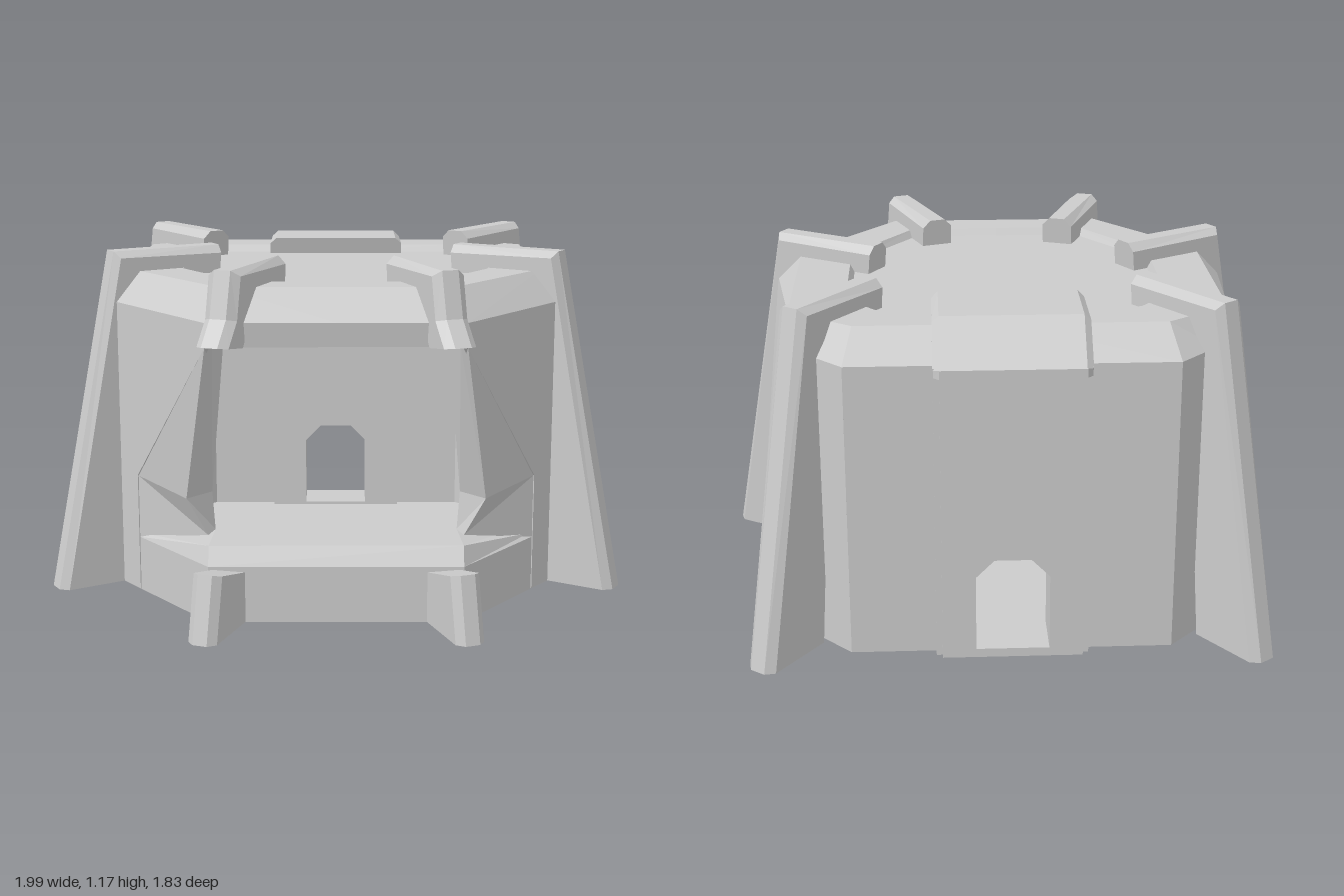
import * as THREE from 'three';

const mat = new THREE.MeshStandardMaterial({ color: 0xcccccc, flatShading: true, side: THREE.DoubleSide });
const V = (x, y, z) => new THREE.Vector3(x, y, z);

function fromTriangles(tris) {
  const geo = new THREE.BufferGeometry().setFromPoints(tris.flat());
  geo.computeVertexNormals();
  return geo;
}

// Flat convex faces, each wound to face away from the middle of the building
function faces(list) {
  const tris = [], mid = V(0, 0.5, 0);
  for (const pts of list.map(f => f.map(p => V(...p)))) {
    for (let i = 1; i < pts.length - 1; i++) {
      const t = [pts[0], pts[i], pts[i + 1]];
      const n = t[1].clone().sub(t[0]).cross(t[2].clone().sub(t[0]));
      const out = t[0].clone().add(t[1]).add(t[2]).divideScalar(3).sub(mid);
      tris.push(n.dot(out) < 0 ? [t[0], t[2], t[1]] : t);
    }
  }
  return fromTriangles(tris);
}

// Closed solid through cross-sections with equal point counts
function loft(rings) {
  const tris = [], n = rings[0].length, last = rings[rings.length - 1];
  for (let k = 0; k < rings.length - 1; k++) {
    for (let i = 0; i < n; i++) {
      const j = (i + 1) % n, a = rings[k], b = rings[k + 1];
      tris.push([a[i], a[j], b[j]], [a[i], b[j], b[i]]);
    }
  }
  for (let i = 1; i < n - 1; i++) {
    tris.push([rings[0][0], rings[0][i + 1], rings[0][i]], [last[0], last[i], last[i + 1]]);
  }
  const volume = tris.reduce((s, [a, b, c]) => s + a.dot(b.clone().cross(c)), 0);
  return fromTriangles(volume < 0 ? tris.map(([a, b, c]) => [a, c, b]) : tris);
}

// Upright slab from plan point a to b, its thickness going inward
function panel(a, b, outline, depth, hole) {
  const shape = new THREE.Shape(outline.map(p => new THREE.Vector2(...p)));
  if (hole) shape.holes.push(new THREE.Path(hole.map(p => new THREE.Vector2(...p))));
  const geo = new THREE.ExtrudeGeometry(shape, { depth, bevelEnabled: false });
  geo.translate(0, 0, -depth);
  const u = V(b[0] - a[0], 0, b[1] - a[1]).normalize(), up = V(0, 1, 0);
  const m = new THREE.Matrix4().makeBasis(u, up, u.clone().cross(up)).setPosition(a[0], 0, a[1]);
  return geo.applyMatrix4(m);
}

// Doorway outline with cut corners
function doorway(s0, s1, y0, y1, top, bottom) {
  return [[s0 + bottom, y0], [s1 - bottom, y0], [s1, y0 + bottom], [s1, y1 - top],
    [s1 - top, y1], [s0 + top, y1], [s0, y1 - top], [s0, y0 + bottom]];
}

// Rib with chamfered outer edges; stations are [outer t, outer y, inner t, inner y] along a to b
function rib(a, b, w, c, stations) {
  const d = V(b[0] - a[0], 0, b[1] - a[1]).normalize(), side = V(-d.z, 0, d.x);
  const at = (t, y, s) => V(a[0], y, a[1]).addScaledVector(d, t).addScaledVector(side, s);
  return loft(stations.map(([ot, oy, it, iy]) => {
    const k = c / Math.hypot(it - ot, iy - oy);
    const mt = ot + (it - ot) * k, my = oy + (iy - oy) * k;
    return [at(it, iy, -w), at(mt, my, -w), at(ot, oy, c - w),
      at(ot, oy, w - c), at(mt, my, w), at(it, iy, w)];
  }));
}

function mirrored(geo) {
  const g = geo.index ? geo.toNonIndexed() : geo.clone();
  g.scale(-1, 1, 1);
  const p = g.attributes.position;
  for (let i = 0; i < p.count; i += 3) {
    const b = V().fromBufferAttribute(p, i + 1), c = V().fromBufferAttribute(p, i + 2);
    p.setXYZ(i + 1, c.x, c.y, c.z);
    p.setXYZ(i + 2, b.x, b.y, b.z);
  }
  g.computeVertexNormals();
  return g;
}

export function createModel() {
  const model = new THREE.Group();
  model.name = 'building';
  const add = (name, geo) => {
    const mesh = new THREE.Mesh(geo, mat);
    mesh.name = name;
    model.add(mesh);
  };
  const pair = (name, geo) => {
    add(name + 'Left', geo);
    add(name + 'Right', mirrored(geo));
  };

  // Floor slab
  const half = [[0.42, 0.67], [0.79, 0.19], [0.79, -0.51], [0.53, -0.78]];
  const plan = [...half, ...half.map(([x, z]) => [-x, z]).reverse()];
  const floor = new THREE.ExtrudeGeometry(
    new THREE.Shape(plan.map(([x, z]) => new THREE.Vector2(x, -z))), { depth: 0.02, bevelEnabled: false });
  add('floor', floor.rotateX(-Math.PI / 2));

  // Walls
  pair('sideWall', panel([0.8, 0.19], [0.8, -0.51], [[0, 0], [0.7, 0], [0.7, 0.6], [0, 1]], 0.13,
    doorway(0.37, 0.62, 0.03, 0.5, 0.05, 0.02)));
  pair('rearCornerWall', panel([0.8, -0.51], [0.53, -0.79],
    [[0, 0], [0.389, 0], [0.389, 1], [0.2, 1], [0, 0.6]], 0.1));
  pair('frontCornerWall', panel([0.42, 0.68], [0.8, 0.19],
    [[0, 1], [0, 0.92], [0.43, 0.41], [0.43, 0], [0.62, 0], [0.62, 1]], 0.02));
  const backDoor = c => doorway(c - 0.12, c + 0.12, 0.03, 0.35, 0.06, 0);
  add('backWall', panel([0.53, -0.79], [-0.53, -0.79], [[0, 0], [1.06, 0], [1.06, 1], [0, 1]], 0.1, backDoor(0.53)));

  // Back buttress with its doorway and a cap folding over the roof
  for (const [w, z, depth] of [[0.25, -0.82, 0.16], [0.23, -0.84, 0.03]]) {
    add('backButtress', panel([w, z], [-w, z], [[0, 0], [2 * w, 0], [2 * w, 1], [0, 1]], depth, backDoor(w)));
  }
  add('buttressCap', rib([0, 0], [0, -1], 0.25, 0.022,
    [[0.45, 1.135, 0.47, 1.06], [0.71, 1.135, 0.68, 1.05], [0.84, 1.0, 0.76, 0.98], [0.84, 0.97, 0.76, 0.97]]));

  // Splayed sides of the front opening
  const o1 = [0.42, 0.92, 0.68], o2 = [0.68, 0.41, 0.345], o3 = [0.68, 0.19, 0.345];
  const m1 = [0.4, 0.92, 0.62], m2 = [0.5, 0.38, 0.53], m3 = [0.43, 0.25, 0.52];
  const i1 = [0.37, 0.92, 0.5], i2 = [0.42, 0.38, 0.44], i3 = [0.41, 0.25, 0.45];
  pair('openingSide', faces([[o1, o2, m2, m1], [o2, o3, m3, m2], [m1, m2, i2, i1], [m2, m3, i3, i2],
    [i1, i2, [0.67, 0.38, 0.12], [0.67, 0.92, 0.12]], [i2, [0.42, 0, 0.44], [0.67, 0, 0.12], [0.67, 0.38, 0.12]]]));

  // Low front sill
  const sillEnd = s => [V(s * 0.68, 0, 0.345), V(s * 0.68, 0.19, 0.345), V(s * 0.67, 0.2, 0.335),
    V(s * 0.62, 0.2, 0.29), V(s * 0.62, 0, 0.29)];
  const sillMid = s => [V(s * 0.42, 0, 0.68), V(s * 0.42, 0.19, 0.68), V(s * 0.42, 0.25, 0.64),
    V(s * 0.41, 0.25, 0.45), V(s * 0.41, 0, 0.44)];
  add('frontSill', loft([sillEnd(-1), sillMid(-1), sillMid(1), sillEnd(1)]));

  // Sloped eaves, flat rim and the step down to the roof
  pair('eaves', faces([
    [[0, 0.92, 0.67], [0.42, 0.92, 0.67], [0.42, 1, 0.68], [0, 1, 0.68]],
    [[0, 1, 0.68], [0.42, 1, 0.68], [0.38, 1.1, 0.58], [0, 1.1, 0.58]],
    [[0.42, 1, 0.68], [0.8, 1, 0.19], [0.71, 1.1, 0.16], [0.38, 1.1, 0.58]],
    [[0.8, 1, 0.19], [0.8, 0.6, -0.51], [0.71, 1.1, -0.54], [0.71, 1.1, 0.16]],
    [[0.8, 0.6, -0.51], [0.66, 1, -0.655], [0.71, 1.1, -0.54]],
    [[0.66, 1, -0.655], [0.53, 1, -0.79], [0.5, 1.1, -0.69], [0.71, 1.1, -0.54]],
    [[0.53, 1, -0.79], [0, 1, -0.79], [0, 1.1, -0.69], [0.5, 1.1, -0.69]],
  ]));
  const outer = [[0, 0.58], [0.38, 0.58], [0.71, 0.16], [0.71, -0.54], [0.5, -0.69], [0, -0.69]];
  const inner = [[0, 0.46], [0.31, 0.46], [0.53, 0.14], [0.53, -0.41], [0.43, -0.53], [0, -0.53]];
  const roof = [[0, 0.445], [0.3, 0.445], [0.515, 0.135], [0.515, -0.405], [0.425, -0.51], [0, -0.51]];
  const lift = ([x, z], y) => [x, y, z];
  const rim = [roof.map(p => lift(p, 1.075))];
  for (let i = 0; i < 5; i++) {
    rim.push([lift(outer[i], 1.1), lift(outer[i + 1], 1.1), lift(inner[i + 1], 1.1), lift(inner[i], 1.1)]);
    rim.push([lift(inner[i], 1.1), lift(inner[i + 1], 1.1), lift(roof[i + 1], 1.075), lift(roof[i], 1.075)]);
  }
  pair('roof', faces(rim));
  pair('ceiling', faces([[[0, 0.92, 0.67], [0.42, 0.92, 0.67], [0.78, 0.92, 0.19],
    [0.72, 0.92, -0.5], [0.52, 0.92, -0.75], [0, 0.92, -0.75]]]));

  // Ribs: full legs at the sides and rear, cut short over the front opening
  const leg = [[0, 1.17, 0.01, 1.06], [0.4, 1.17, 0.28, 1.0], [0.64, 0, 0.37, 0]];
  pair('rearRib', rib([0.45, -0.39], [0.81, -0.88], 0.055, 0.027, leg));
  pair('sideRib', rib([0.43, 0], [0.97, 0.32], 0.055, 0.027, leg));
  pair('frontRib', rib([0.22, 0.32], [0.43, 0.89], 0.055, 0.027,
    [[0, 1.17, 0.01, 1.06], [0.4, 1.17, 0.28, 1.05], [0.44, 1.02, 0.32, 0.99], [0.51, 0.94, 0.37, 0.92]]));
  pair('frontFoot', rib([0.22, 0.32], [0.43, 0.89], 0.05, 0.025,
    [[0.57, 0.22, 0.36, 0.17], [0.62, 0, 0.36, 0]]));
  return model;
}
